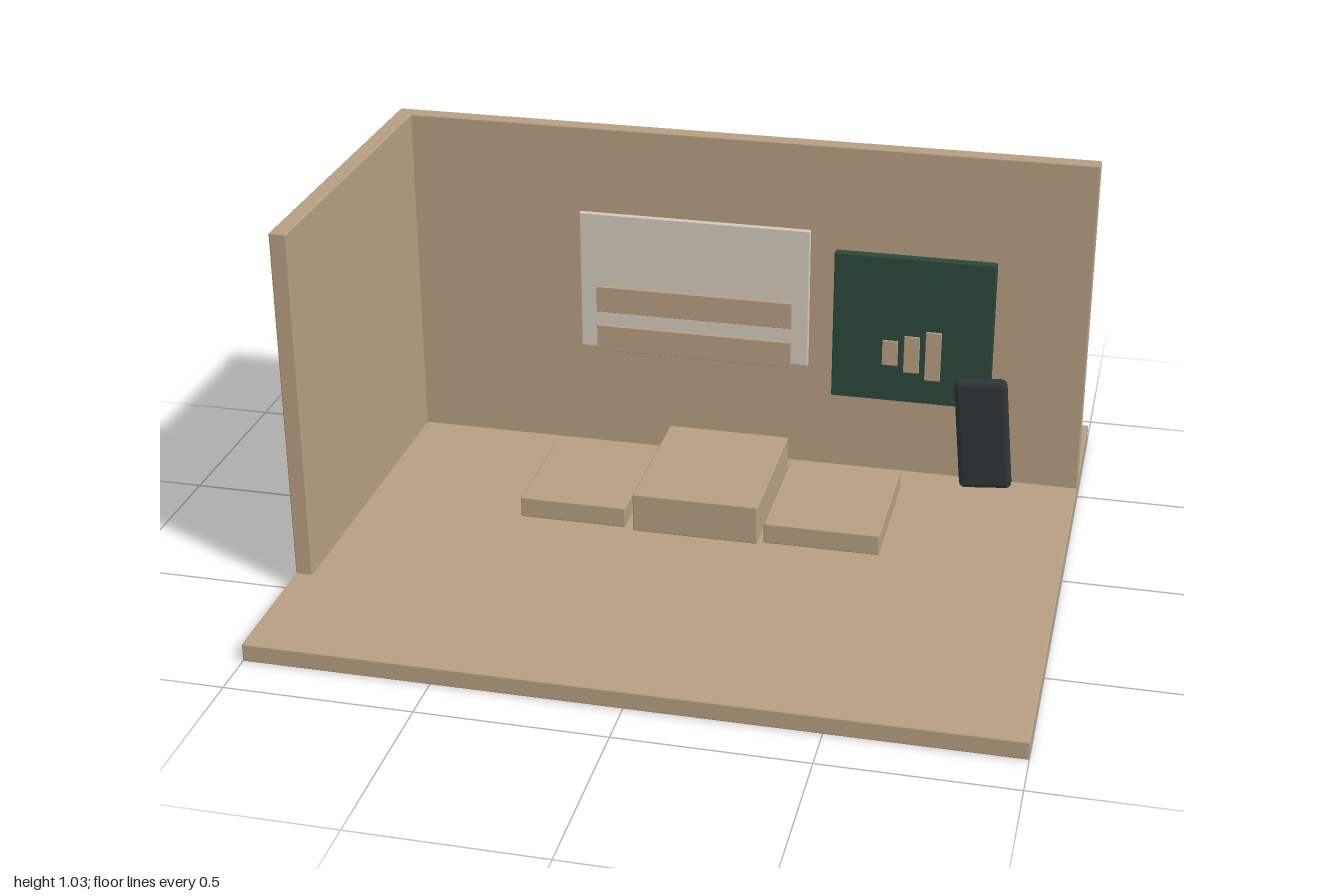
import * as THREE from 'three';
import { RoundedBoxGeometry } from 'three/addons/geometries/RoundedBoxGeometry.js';

const material = (name, color) => {
  const m = new THREE.MeshStandardMaterial({ color });
  m.name = name;
  return m;
};

export function createModel() {
  const group = new THREE.Group();
  const tan = material('tan', 0xb69e82);
  const pale = material('pale grey', 0xd3cabc);
  const green = material('dark green', 0x2b493d);
  const charcoal = material('charcoal', 0x2e3637);

  // Box from its minimum and maximum on each axis, with softened edges
  const box = (name, mat, [x0, x1], [y0, y1], [z0, z1], radius = 0.004) => {
    const w = x1 - x0, h = y1 - y0, d = z1 - z0;
    const mesh = new THREE.Mesh(new RoundedBoxGeometry(w, h, d, 2, radius), mat);
    mesh.position.set((x0 + x1) / 2, (y0 + y1) / 2, (z0 + z1) / 2);
    mesh.name = name;
    group.add(mesh);
    return mesh;
  };

  // Room: floor with two walls
  box('floor', tan, [-1, 1], [0, 0.05], [-0.873, 0.873]);
  box('backWall', tan, [-1, 1], [0.046, 1.028], [-0.5, -0.453]);
  box('sideWall', tan, [-1, -0.953], [0.046, 1.028], [-0.5, 0.5]);

  // Low platforms on the floor
  box('rightPlatform', tan, [-0.503, -0.203], [0.05, 0.11], [-0.315, 0.06]);
  box('middlePlatform', tan, [-0.178, 0.173], [0.05, 0.163], [-0.37, 0.072]);
  box('leftPlatform', tan, [0.188, 0.508], [0.05, 0.11], [-0.337, 0.06]);

  // Pale board with two strips
  box('paleBoard', pale, [-0.434, 0.228], [0.4, 0.81], [-0.371, -0.355]);
  for (const y of [0.395, 0.515]) {
    box('boardStrip', tan, [-0.385, 0.18], [y, y + 0.077], [-0.358, -0.345], 0.002);
  }

  // Green board with a rising bar chart
  box('greenBoard', green, [0.299, 0.748], [0.325, 0.76], [-0.368, -0.341]);
  for (const [x, h] of [[0.463, 0.075], [0.524, 0.11], [0.584, 0.147]]) {
    box('chartBar', tan, [x - 0.022, x + 0.022],
      [0.473 - h / 2, 0.473 + h / 2], [-0.346, -0.336], 0.002);
  }

  // Tilted handheld slab with rounded edges
  const slab = box('handheldSlab', charcoal, [0.662, 0.81], [0.094, 0.426], [-0.341, -0.303], 0.017);
  slab.rotation.z = 0.09;

  return group;
}
